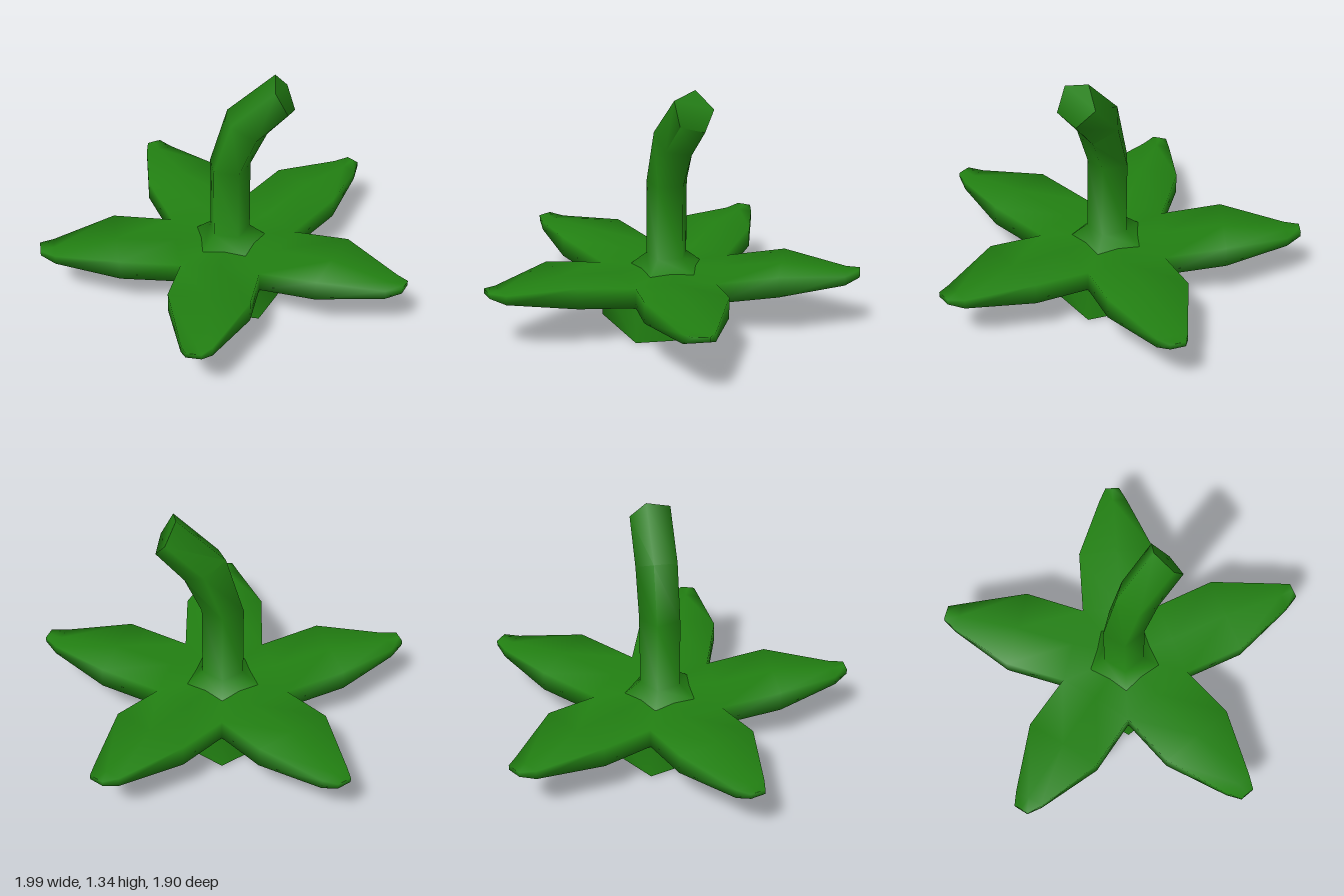
import * as THREE from 'three';
import { mergeVertices, toCreasedNormals } from 'three/addons/utils/BufferGeometryUtils.js';

const HUB_Z = -0.09;
const HUB_R = 0.365;

function fromTriangles(tris) {
  const g = new THREE.BufferGeometry();
  g.setAttribute('position', new THREE.Float32BufferAttribute(tris.flatMap(p => [p.x, p.y, p.z]), 3));
  return g;
}

// Skin a row of rings (clockwise seen from the far end) and close the far end
function loft(rings) {
  const tris = [];
  const n = rings[0].length;
  for (let i = 0; i < rings.length - 1; i++) {
    for (let j = 0; j < n; j++) {
      const k = (j + 1) % n;
      const a = rings[i][j], b = rings[i][k], c = rings[i + 1][k], d = rings[i + 1][j];
      tris.push(a, d, c, a, c, b);
    }
  }
  const end = rings[rings.length - 1];
  for (let j = 1; j < n - 1; j++) tris.push(end[0], end[j + 1], end[j]);
  return tris;
}

// Five leaves joined at the hub, with normals smoothed across the joins
function leavesGeometry() {
  // distance from hub, half width, top edge, top middle, underside
  const stations = [
    [0.295, 0.2145, 0.31, 0.325, 0.2],
    [0.62, 0.215, 0.37, 0.37, 0.257],
    [0.96, 0.08, 0.342, 0.345, 0.293],
    [1.035, 0.04, 0.355, 0.356, 0.328],
  ];
  const rings = stations.map(([r, w, edge, mid, low]) => [
    new THREE.Vector3(-w, edge, r),
    new THREE.Vector3(0, mid, r),
    new THREE.Vector3(w, edge, r),
    new THREE.Vector3(w, low, r),
    new THREE.Vector3(-w, low, r),
  ]);
  const leaf = loft(rings);
  // Hub wedge between the centre and the leaf root
  const centre = new THREE.Vector3(0, 0.32, 0);
  leaf.push(centre, rings[0][0], rings[0][1], centre, rings[0][1], rings[0][2]);

  const up = new THREE.Vector3(0, 1, 0);
  const all = [];
  for (let i = 0; i < 5; i++) {
    for (const p of leaf) all.push(p.clone().applyAxisAngle(up, (i * Math.PI * 2) / 5));
  }
  const g = mergeVertices(fromTriangles(all), 1e-3);
  g.computeVertexNormals();
  return g;
}

// Five-sided stem, flared at the root and bent towards +x
function stemGeometry() {
  // centre x, centre y, radius, tilt
  const path = [
    [0, 0.315, 0.2, 0],
    [0, 0.385, 0.115, 0],
    [0, 0.79, 0.115, 0],
    [0.09, 1.045, 0.13, 0.53],
    [0.285, 1.24, 0.118, 1.07],
  ];
  const rings = path.map(([x, y, r, tilt]) => {
    const ring = [];
    for (let j = 0; j < 5; j++) {
      const a = Math.PI - (j * Math.PI * 2) / 5;
      const s = r * Math.sin(a);
      const depth = Math.min(r, y < 0.35 ? r : 0.117) * Math.cos(a);
      ring.push(new THREE.Vector3(x + s * Math.cos(tilt), y - s * Math.sin(tilt), depth));
    }
    return ring;
  });
  const g = fromTriangles(loft(rings));
  return toCreasedNormals(g, 1.35);
}

// Pentagonal foot, closed underneath
function baseGeometry() {
  const profile = [[0, 0], [HUB_R, 0], [HUB_R, 0.2]].map(p => new THREE.Vector2(...p));
  return toCreasedNormals(new THREE.LatheGeometry(profile, 5, Math.PI), 1.35);
}

export function createModel() {
  const group = new THREE.Group();
  group.name = 'leafyStem';
  const green = new THREE.MeshStandardMaterial({ color: 0x228012 });
  const parts = { leaves: leavesGeometry(), stem: stemGeometry(), base: baseGeometry() };
  for (const [name, geometry] of Object.entries(parts)) {
    const mesh = new THREE.Mesh(geometry, green);
    mesh.name = name;
    mesh.position.z = HUB_Z;
    group.add(mesh);
  }
  return group;
}
